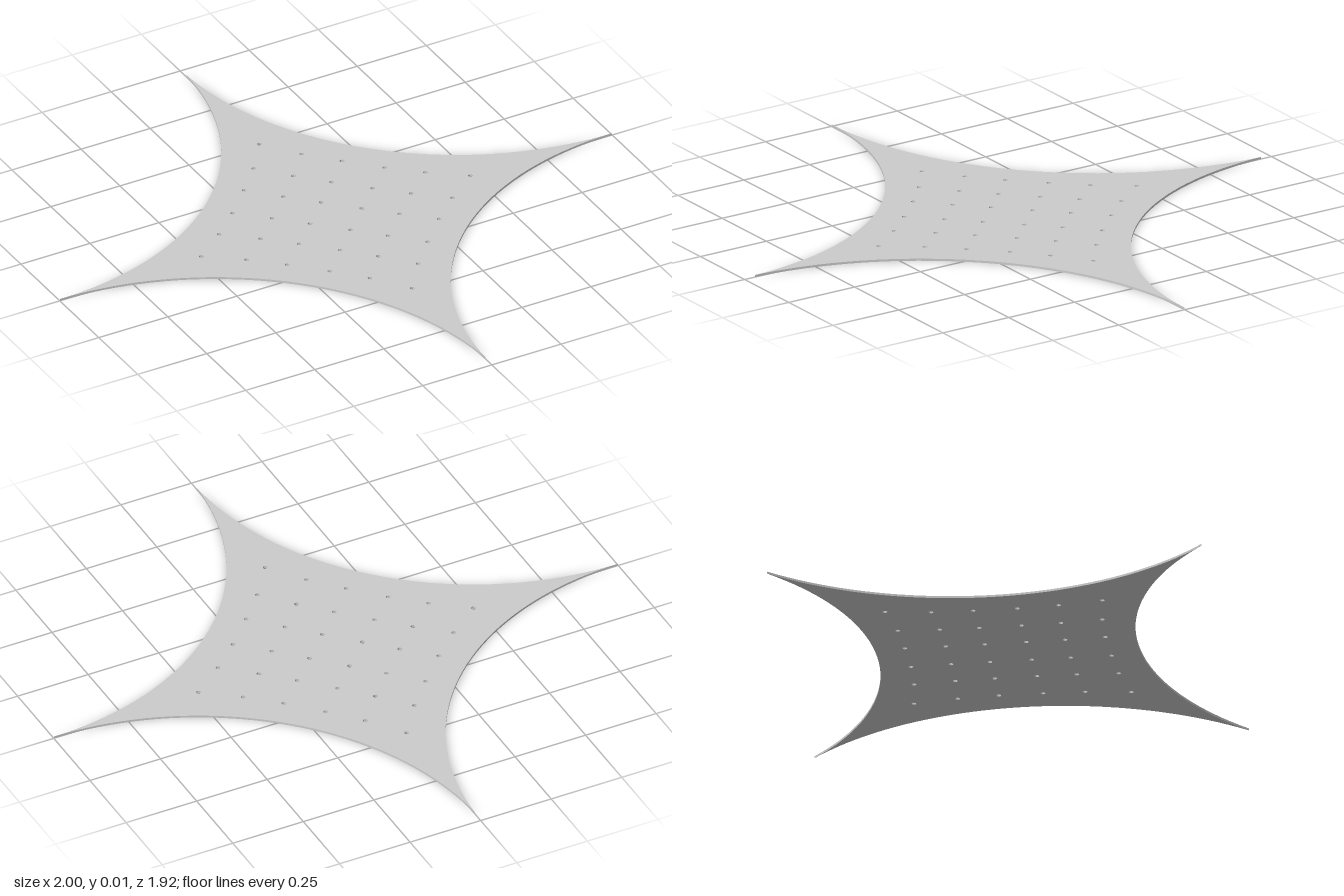
import * as THREE from 'three';

const THICKNESS = 0.007;
const HOLE_RADIUS = 0.008;

// Four-pointed outline made of concave circular arcs
function starOutline() {
  const tipX = 1, tipZ = 0.96, cx = 0.9992, steps = 40;
  // one quarter, running from the side tip to the end tip
  const quarter = [];
  const end = Math.acos(cx);
  for (let i = 0; i <= steps; i++) {
    const a = -Math.PI / 2 - (i / steps) * (Math.PI / 2 - end);
    quarter.push([cx + Math.cos(a), 1 + Math.sin(a)]);
  }
  quarter[0] = [tipX, 0];
  quarter[steps] = [0, tipZ];
  const back = quarter.slice().reverse();
  const points = [];
  for (const [sx, sy, arc] of [[1, 1, quarter], [-1, 1, back], [-1, -1, quarter], [1, -1, back]])
    for (const [x, y] of arc.slice(0, -1)) points.push(new THREE.Vector2(sx * x, sy * y));
  return points;
}

// Six by six diagonal lattice: one quadrant, mirrored to the others
function holeCentres() {
  const quadrant = [
    [0, 0.49], [0.087, 0.373], [0.177, 0.275], [0.275, 0.175], [0.373, 0.087], [0.487, 0],
    [0, 0.273], [0.087, 0.182], [0.182, 0.087], [0.273, 0],
    [0, 0.094], [0.094, 0],
  ];
  const centres = [];
  for (const [x, y] of quadrant)
    for (const sx of x ? [1, -1] : [1])
      for (const sy of y ? [1, -1] : [1]) centres.push([sx * x, sy * y]);
  return centres;
}

export function createModel() {
  const group = new THREE.Group();
  group.name = 'perforatedStarPlate';

  const shape = new THREE.Shape(starOutline());
  for (const [x, y] of holeCentres()) {
    const hole = [];
    for (let i = 0; i < 8; i++) {
      const a = (-i / 8) * Math.PI * 2;
      hole.push(new THREE.Vector2(x + HOLE_RADIUS * Math.cos(a), y + HOLE_RADIUS * Math.sin(a)));
    }
    shape.holes.push(new THREE.Path(hole));
  }

  // Thin sheet lying flat on the ground
  const geometry = new THREE.ExtrudeGeometry(shape, { depth: THICKNESS, bevelEnabled: false });
  geometry.rotateX(-Math.PI / 2);
  const plate = new THREE.Mesh(geometry, new THREE.MeshStandardMaterial({ color: 0xcccccc }));
  plate.name = 'plate';
  group.add(plate);
  return group;
}
